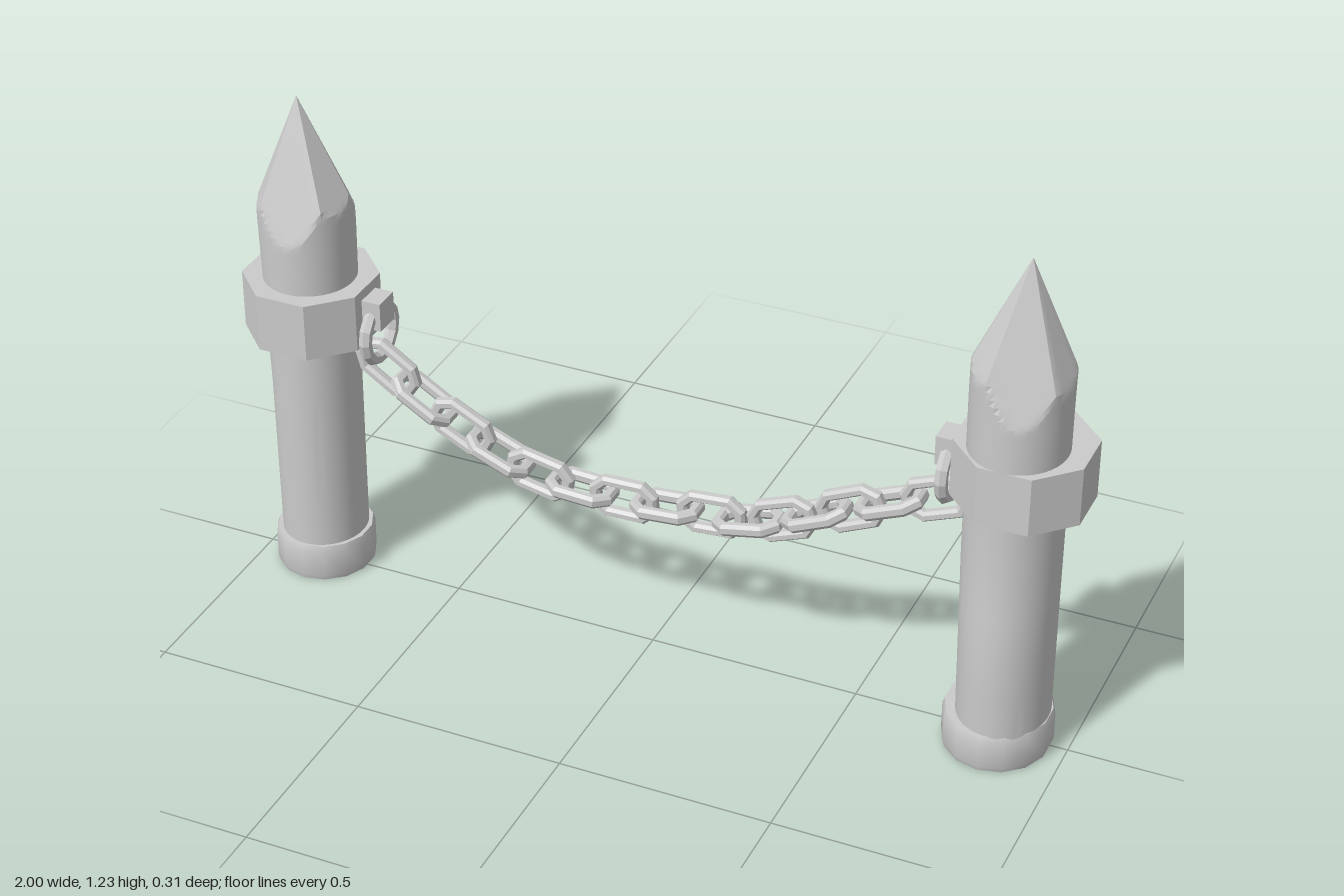
import * as THREE from 'three';
import { toCreasedNormals } from 'three/addons/utils/BufferGeometryUtils.js';

const material = new THREE.MeshStandardMaterial({ color: 0xcccccc });
const flatMaterial = new THREE.MeshStandardMaterial({ color: 0xcccccc, flatShading: true });

function add(parent, name, geometry, mat = flatMaterial) {
  const mesh = new THREE.Mesh(geometry, mat);
  mesh.name = name;
  parent.add(mesh);
  return mesh;
}

// Interpolate a list of [y, a, b, ...] keys at height y.
function sample(keys, y) {
  let i = 0;
  while (i < keys.length - 2 && y > keys[i + 1][0]) i++;
  const t = THREE.MathUtils.clamp((y - keys[i][0]) / (keys[i + 1][0] - keys[i][0]), 0, 1);
  return keys[i].map((v, k) => THREE.MathUtils.lerp(v, keys[i + 1][k], t));
}

// Round stake whose top is whittled by flat cuts; keys are [y, centre x, centre z, radius x, radius z],
// cuts are [direction, slope].
function stakeGeometry(keys, cuts, tip) {
  const sides = 60, steps = 28, shoulder = 0.82;
  const heights = [0.02, 0.1, 0.2, 0.3, 0.4, 0.5, 0.6, 0.72];
  for (let i = 0; i <= steps; i++) heights.push(THREE.MathUtils.lerp(shoulder, tip, i / steps));
  const positions = [], index = [];
  heights.forEach((y, i) => {
    const [, cx, cz, rx, rz] = sample(keys, y);
    for (let j = 0; j < sides; j++) {
      const a = (j / sides) * Math.PI * 2;
      let r = (rx * rz) / Math.hypot(rz * Math.cos(a), rx * Math.sin(a));
      for (const [dir, slope] of cuts) {
        const c = Math.cos(a - dir);
        if (c > 0.1) r = Math.min(r, ((tip - y) * slope + 0.0005) / c);
      }
      positions.push(cx + r * Math.cos(a), y, cz + r * Math.sin(a));
      if (i === heights.length - 1) continue;
      const p = i * sides + j, q = i * sides + ((j + 1) % sides);
      index.push(p, p + sides, q, q, p + sides, q + sides);
    }
  });
  const geometry = new THREE.BufferGeometry();
  geometry.setAttribute('position', new THREE.Float32BufferAttribute(positions, 3));
  geometry.setIndex(index);
  return toCreasedNormals(geometry, 0.3);
}

// Post: whittled stake, foot cap, octagonal collar, staple and hanging ring.
function buildPost(name, side, { keys, cuts, tip, foot }) {
  const post = new THREE.Group();
  post.name = name;
  add(post, 'stake', stakeGeometry(keys, cuts, tip), material);

  const profile = [[0, 0], [0.97, 0], [1, 0.012], [1, 0.078], [0.96, 0.092], [0.7, 0.092]]
    .map(([r, y]) => new THREE.Vector2(r, y));
  const cap = new THREE.LatheGeometry(profile, 14);
  cap.scale(foot.rx, 1, foot.rz);
  add(post, 'footCap', toCreasedNormals(cap, 0.6), material).position.set(foot.x, 0, foot.z);

  const collar = new THREE.CylinderGeometry(0.157, 0.157, 0.14, 8);
  collar.rotateY(Math.PI / 8);
  add(post, 'collar', collar).position.set(side * 0.855, 0.7, -0.01);

  add(post, 'staple', new THREE.BoxGeometry(0.06, 0.07, 0.065)).position.set(side * 0.694, 0.71, -0.012);
  const ring = new THREE.TorusGeometry(0.066, 0.015, 6, 14);
  ring.rotateY(Math.PI / 2);
  add(post, 'ring', ring).position.set(side * 0.69, 0.65, -0.018);
  return post;
}

// Long octagonal chain link with chamfered edges.
function linkGeometry() {
  const outline = (x1, y1, x2, y2) => [[x1, y1], [x2, y2], [x2, -y2], [x1, -y1],
    [-x1, -y1], [-x2, -y2], [-x2, y2], [-x1, y1]].map(([x, y]) => new THREE.Vector2(x, y));
  const shape = new THREE.Shape(outline(0.047, 0.046, 0.077, 0.02));
  shape.holes.push(new THREE.Path(outline(0.042, 0.035, 0.063, 0.016).reverse()));
  const geometry = new THREE.ExtrudeGeometry(shape, {
    depth: 0.014, bevelEnabled: true, bevelSize: 0.006, bevelThickness: 0.008, bevelSegments: 1,
  });
  geometry.translate(0, 0, -0.007);
  return geometry;
}

// Links follow the sagging curve, every second one turned on its side.
function buildChain() {
  const chain = new THREE.Group();
  chain.name = 'chain';
  const curve = new THREE.CatmullRomCurve3([
    [-0.665, 0.565], [-0.575, 0.505], [-0.48, 0.453], [-0.385, 0.408], [-0.285, 0.375],
    [-0.18, 0.367], [-0.075, 0.365], [0.03, 0.373], [0.14, 0.383], [0.23, 0.39],
    [0.31, 0.418], [0.39, 0.452], [0.47, 0.49], [0.56, 0.53], [0.665, 0.572],
  ].map(([x, y]) => new THREE.Vector3(x, y, -0.01)));
  const geometry = linkGeometry();
  const count = 15;
  for (let i = 0; i < count; i++) {
    const t = i / (count - 1);
    const direction = curve.getTangent(t);
    const link = add(chain, 'chainLink', geometry);
    link.position.copy(curve.getPoint(t));
    link.rotation.order = 'ZYX';
    link.rotation.z = Math.atan2(direction.y, direction.x);
    link.rotation.x = i % 2 ? Math.PI / 2 : 0;
  }
  return chain;
}

export function createModel() {
  const model = new THREE.Group();
  model.name = 'chainBarrier';

  model.add(buildPost('leftPost', 1, {
    keys: [[0, 0.853, 0.018, 0.103, 0.122], [0.3, 0.85, 0.018, 0.105, 0.127],
      [0.5, 0.846, 0.012, 0.108, 0.12], [0.9, 0.847, 0.019, 0.11, 0.118], [1.23, 0.855, 0.032, 0.11, 0.118]],
    cuts: [[0.2, 0.38], [1.25, 0.33], [2.35, 0.42], [3.3, 0.4], [4.3, 0.44], [5.4, 0.36]],
    tip: 1.23,
    foot: { x: 0.841, z: 0.015, rx: 0.124, rz: 0.136 },
  }));
  model.add(buildPost('rightPost', -1, {
    keys: [[0, -0.853, -0.008, 0.099, 0.106], [0.5, -0.853, -0.008, 0.102, 0.108],
      [0.9, -0.856, -0.008, 0.11, 0.11], [1.22, -0.86, -0.002, 0.11, 0.11]],
    cuts: [[0.35, 0.42], [1.5, 0.33], [2.6, 0.4], [3.5, 0.36], [4.5, 0.41], [5.5, 0.38]],
    tip: 1.22,
    foot: { x: -0.854, z: -0.008, rx: 0.117, rz: 0.12 },
  }));
  model.add(buildChain());
  return model;
}
